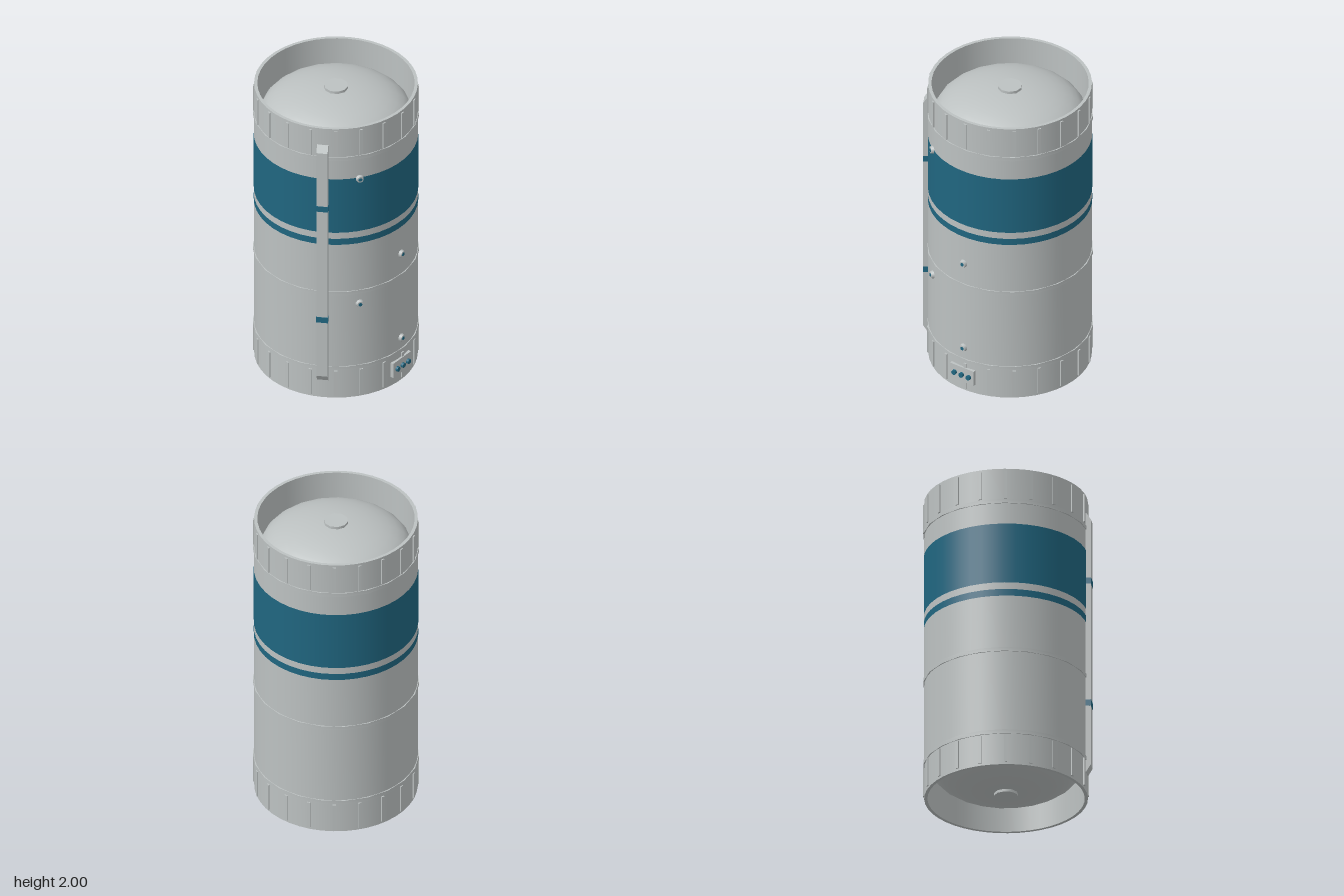
import * as THREE from 'three';
import { toCreasedNormals } from 'three/addons/utils/BufferGeometryUtils.js';

const CENTRE_Z = -0.013;
const SEGMENTS = 44;

export function createModel() {
  const grey = new THREE.MeshStandardMaterial({ color: 0xbcc1c1, side: THREE.DoubleSide });
  grey.name = 'light grey';
  const blue = new THREE.MeshStandardMaterial({ color: 0x206680 });
  blue.name = 'teal blue';

  const model = new THREE.Group();
  model.name = 'canister';
  const barrel = new THREE.Group();
  barrel.name = 'barrel';
  barrel.position.z = CENTRE_Z;
  model.add(barrel);

  const add = (parent, name, geometry, material, x = 0, y = 0, z = 0) => {
    const mesh = new THREE.Mesh(geometry, material);
    mesh.name = name;
    mesh.position.set(x, y, z);
    parent.add(mesh);
    return mesh;
  };

  // Hollow ring with a rectangular section, sharp edges and a smooth wall
  const ring = (name, inner, outer, y0, y1, segments = SEGMENTS) => {
    const profile = [[inner, y0], [outer, y0], [outer, y1], [inner, y1], [inner, y0]]
      .map(([r, y]) => new THREE.Vector2(r, y));
    add(barrel, name, toCreasedNormals(new THREE.LatheGeometry(profile, segments), 0.6), grey);
  };

  // Group facing outwards at an angle around the barrel, zero being the front
  const outward = (name, angle, radius, y) => {
    const group = new THREE.Group();
    group.name = name;
    group.position.set(Math.sin(angle) * radius, y, Math.cos(angle) * radius);
    group.rotation.y = angle;
    barrel.add(group);
    return group;
  };

  // Barrel wall and raised hoops
  ring('wall', 0.483, 0.503, 0, 2);
  ring('lowerHoop', 0.495, 0.511, 0.207, 0.233, 22);
  ring('middleHoop', 0.495, 0.511, 0.765, 0.79, 22);
  ring('upperHoop', 0.495, 0.511, 1.767, 1.793, 22);

  // Painted stripes
  for (const [name, y0, y1] of [['wideStripe', 1.23, 1.628], ['narrowStripe', 1.14, 1.185]]) {
    const stripe = new THREE.CylinderGeometry(0.5055, 0.5055, y1 - y0, SEGMENTS, 1, true);
    add(barrel, name, stripe, blue, 0, (y0 + y1) / 2);
  }

  // Ribs around both collars
  const ribGeometry = new THREE.BoxGeometry(0.02, 0.185, 0.02);
  for (let i = 0; i < 20; i++) {
    const angle = (i + 0.5) * Math.PI / 10;
    for (const y of [0.108, 1.892]) add(outward('rib', angle, 0.5, y), 'ribBar', ribGeometry, grey);
  }

  // Domed ends with a small round cap
  const domeGeometry = new THREE.SphereGeometry(0.47, 22, 10, 0, Math.PI * 2, 0, Math.PI / 2);
  domeGeometry.scale(1, 0.2 / 0.47, 1);
  const capGeometry = new THREE.CylinderGeometry(0.075, 0.075, 0.03, 10);
  capGeometry.rotateY(Math.PI / 2);
  for (const [name, y, turn] of [['topEnd', 1.77, 0], ['bottomEnd', 0.23, Math.PI]]) {
    const end = new THREE.Group();
    end.name = name;
    end.position.y = y;
    end.rotation.x = turn;
    add(end, 'dome', domeGeometry, grey);
    add(end, 'cap', capGeometry, grey, 0, 0.2);
    barrel.add(end);
  }

  // Vertical front conduit with chamfered ends
  const side = new THREE.Shape([[0.47, 0.13], [0.492, 0.13], [0.52, 0.175], [0.52, 1.835], [0.492, 1.88], [0.47, 1.88]]
    .map(([z, y]) => new THREE.Vector2(z, y)));
  const conduit = new THREE.ExtrudeGeometry(side, { depth: 0.07, bevelEnabled: false });
  conduit.translate(0, 0, -0.035);
  conduit.rotateY(-Math.PI / 2);
  add(model, 'conduit', conduit, grey, -0.002);
  for (const y of [0.595, 1.42]) {
    add(model, 'conduitClip', new THREE.BoxGeometry(0.073, 0.04, 0.05), blue, -0.002, y, 0.497);
  }

  // Round fittings with a blue centre
  const collarGeometry = new THREE.CylinderGeometry(0.021, 0.028, 0.024, 10);
  collarGeometry.rotateX(Math.PI / 2);
  const plugGeometry = new THREE.CylinderGeometry(0.012, 0.012, 0.008, 10);
  plugGeometry.rotateX(Math.PI / 2);
  for (const [angle, y] of [[0.452, 1.62], [0.452, 0.69], [1.075, 0.94], [1.075, 0.315]]) {
    const fitting = outward('fitting', angle, 0.503, y);
    add(fitting, 'fittingCollar', collarGeometry, grey, 0, 0, 0.005);
    add(fitting, 'fittingPlug', plugGeometry, blue, 0, 0, 0.015);
  }

  // Control panel with three buttons
  const panel = outward('controlPanel', 1.067, 0.5, 0.118);
  add(panel, 'panelPlate', new THREE.BoxGeometry(0.177, 0.105, 0.03), grey);
  const buttonGeometry = new THREE.CylinderGeometry(0.016, 0.016, 0.02, 10);
  buttonGeometry.rotateX(Math.PI / 2);
  for (const x of [-0.053, 0, 0.053]) add(panel, 'button', buttonGeometry, blue, x, 0, 0.022);

  return model;
}
